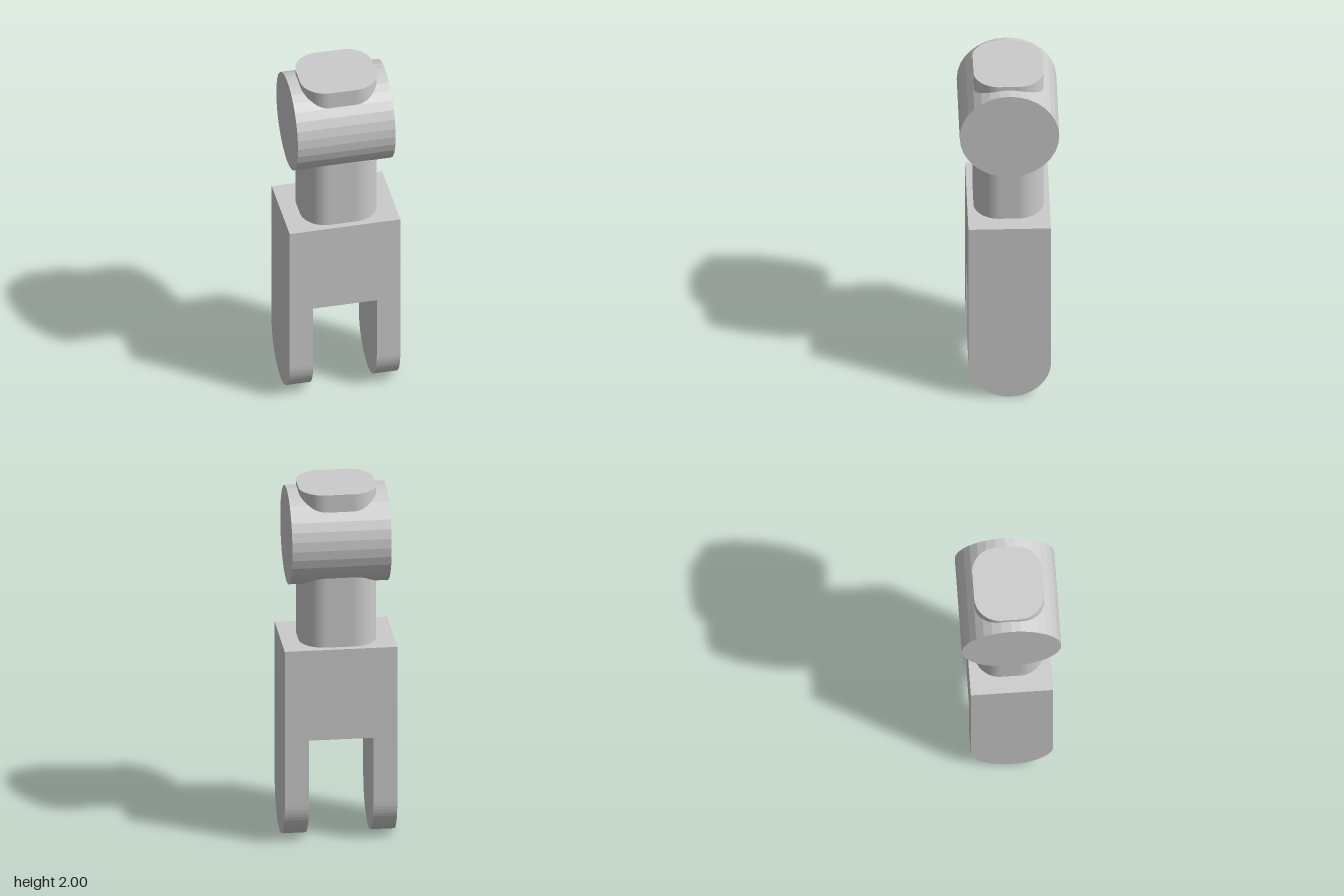
import * as THREE from 'three';

const material = new THREE.MeshStandardMaterial({ color: 0xcccccc, flatShading: true });

function part(name, geometry, x, y, z) {
  const mesh = new THREE.Mesh(geometry, material);
  mesh.name = name;
  mesh.position.set(x, y, z);
  return mesh;
}

// Rectangle with rounded corners, centred on the origin
function roundedRect(halfW, halfH, r) {
  const shape = new THREE.Shape();
  const w = halfW - r, h = halfH - r;
  shape.absarc(w, h, r, 0, Math.PI / 2);
  shape.absarc(-w, h, r, Math.PI / 2, Math.PI);
  shape.absarc(-w, -h, r, Math.PI, Math.PI * 1.5);
  shape.absarc(w, -h, r, Math.PI * 1.5, Math.PI * 2);
  shape.closePath();
  return shape;
}

export function createModel() {
  const model = new THREE.Group();
  model.name = 'jointedArm';

  const outer = 0.305, inner = 0.175, halfDepth = 0.222;
  const forkTop = 1.12, slotTop = 0.6;

  // Fork: two round-ended side plates joined by a solid bridge
  const plate = new THREE.Shape();
  plate.moveTo(halfDepth, forkTop);
  plate.lineTo(-halfDepth, forkTop);
  plate.lineTo(-halfDepth, halfDepth);
  plate.absarc(0, halfDepth, halfDepth, Math.PI, Math.PI * 2);
  plate.closePath();
  const plateGeometry = new THREE.ExtrudeGeometry(plate, {
    depth: outer - inner, bevelEnabled: false, curveSegments: 16,
  }).rotateY(Math.PI / 2);

  const fork = new THREE.Group();
  fork.name = 'fork';
  fork.add(
    part('leftProng', plateGeometry, inner, 0, 0),
    part('rightProng', plateGeometry, -outer, 0, 0),
    part('forkBridge', new THREE.BoxGeometry(inner * 2, forkTop - slotTop, halfDepth * 2),
      0, (forkTop + slotTop) / 2, 0),
  );
  model.add(fork);

  // Rounded post running up through the cross barrel
  const postGeometry = new THREE.ExtrudeGeometry(roundedRect(0.21, 0.188, 0.138), {
    depth: 2 - forkTop, bevelEnabled: false, curveSegments: 8,
  }).rotateX(-Math.PI / 2);
  model.add(part('post', postGeometry, 0, forkTop, 0));

  // Cross barrel lying along x
  const barrelGeometry = new THREE.CylinderGeometry(0.268, 0.268, 0.538, 32).rotateZ(Math.PI / 2);
  model.add(part('crossBarrel', barrelGeometry, 0, 1.71, 0));

  return model;
}
